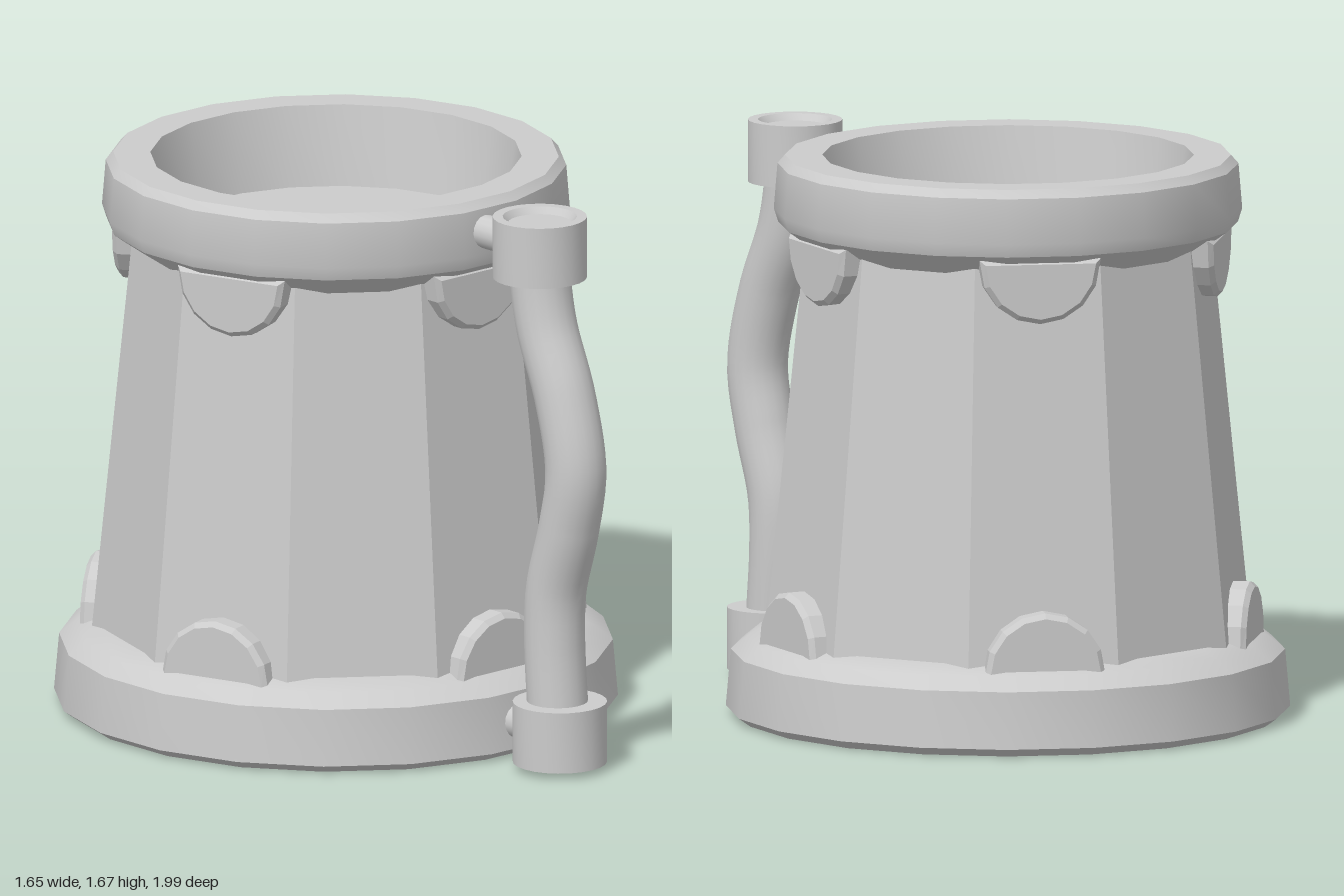
import * as THREE from 'three';
import { toCreasedNormals } from 'three/addons/utils/BufferGeometryUtils.js';

const AXIS_Z = -0.165; // centre of the mug body
const HANDLE_X = -0.02;
const DEG = Math.PI / 180;

const smooth = new THREE.MeshStandardMaterial({ color: 0xcccccc });
const flat = new THREE.MeshStandardMaterial({ color: 0xcccccc, flatShading: true });

function add(parent, name, geometry, material = smooth) {
  const mesh = new THREE.Mesh(geometry, material);
  mesh.name = name;
  parent.add(mesh);
  return mesh;
}

// Profile of [radius, height] pairs, spun round the y axis
function spin(profile, sides, start = 0, crease = 0.6) {
  const points = profile.map(([r, y]) => new THREE.Vector2(r, y));
  return toCreasedNormals(new THREE.LatheGeometry(points, sides, start), crease);
}

// Half disc with a bevelled rim, flat edge along y = 0
function halfDisc(radius, depth) {
  const bevel = 0.015;
  const shape = new THREE.Shape();
  for (let i = 0; i <= 8; i++) {
    const a = (i / 8) * Math.PI;
    const x = Math.cos(a) * (radius - bevel), y = Math.sin(a) * (radius - bevel);
    if (i === 0) shape.moveTo(x, y);
    else shape.lineTo(x, y);
  }
  shape.closePath();
  const geo = new THREE.ExtrudeGeometry(shape, {
    depth: depth - bevel, bevelEnabled: true, bevelSize: bevel, bevelThickness: bevel, bevelSegments: 1,
  });
  return geo.translate(0, 0, -depth); // front face at z = 0
}

export function createModel() {
  const model = new THREE.Group();
  model.name = 'tankard';

  const mug = new THREE.Group();
  mug.name = 'mug';
  mug.position.z = AXIS_Z;
  model.add(mug);

  // Ten-sided tapered body, its top cap is the floor seen inside the rim
  const body = add(mug, 'body', new THREE.CylinderGeometry(0.607, 0.732, 1.24, 10, 1, false, 18 * DEG), flat);
  body.position.y = 0.82;

  // Foot ring
  add(mug, 'base', spin([
    [0, 0.005], [0.8, 0.005], [0.835, 0.03], [0.82, 0.2], [0.77, 0.24], [0.71, 0.265], [0.6, 0.265],
  ], 20, 9 * DEG));

  // Rim ring with a sloping inner wall
  add(mug, 'rim', spin([
    [0.51, 1.43], [0.58, 1.41], [0.645, 1.455], [0.68, 1.48], [0.693, 1.52],
    [0.682, 1.655], [0.66, 1.68], [0.55, 1.68], [0.51, 1.43],
  ], 20, 9 * DEG));

  // Half-disc studs on every second face, hanging from the rim and rising from the base
  for (let i = 0; i < 5; i++) {
    const spoke = new THREE.Group();
    spoke.name = 'studPair';
    spoke.rotation.y = i * 72 * DEG;
    mug.add(spoke);
    const upper = add(spoke, 'upperStud', halfDisc(0.18, 0.08), flat);
    upper.position.set(0, 1.452, 0.643);
    upper.rotation.z = Math.PI;
    const lower = add(spoke, 'lowerStud', halfDisc(0.18, 0.08), flat);
    lower.position.set(0, 0.24, 0.74);
  }

  const handle = new THREE.Group();
  handle.name = 'handle';
  handle.position.x = HANDLE_X;
  model.add(handle);

  // Curved grip
  const path = new THREE.CatmullRomCurve3([
    [1.6, 0.75], [1.5, 0.752], [1.35, 0.78], [1.15, 0.86], [0.93, 0.908],
    [0.75, 0.878], [0.55, 0.822], [0.4, 0.815], [0.2, 0.828], [0.12, 0.835],
  ].map(([y, z]) => new THREE.Vector3(0, y, z)));
  add(handle, 'grip', new THREE.TubeGeometry(path, 40, 0.091, 20));

  // Sockets at the grip ends, each with a shallow round recess on its outer end
  const socketProfile = [
    [0, 0], [0.14, 0], [0.14, 0.185], [0.11, 0.185], [0.095, 0.165], [0, 0.165],
  ];
  const socket = spin(socketProfile, 24);
  add(handle, 'upperSocket', socket).position.set(0, 1.495, 0.75);
  const lowerSocket = add(handle, 'lowerSocket', socket);
  lowerSocket.position.set(0, 0.21, 0.838);
  lowerSocket.rotation.x = Math.PI;

  // Short pins joining the sockets to the mug
  for (const [name, y, z, length] of [['upperPin', 1.585, 0.565, 0.2], ['lowerPin', 0.11, 0.67, 0.2]]) {
    const pin = add(handle, name, new THREE.CylinderGeometry(0.05, 0.05, length, 16));
    pin.rotation.x = Math.PI / 2;
    pin.position.set(0, y, z);
  }

  return model;
}
